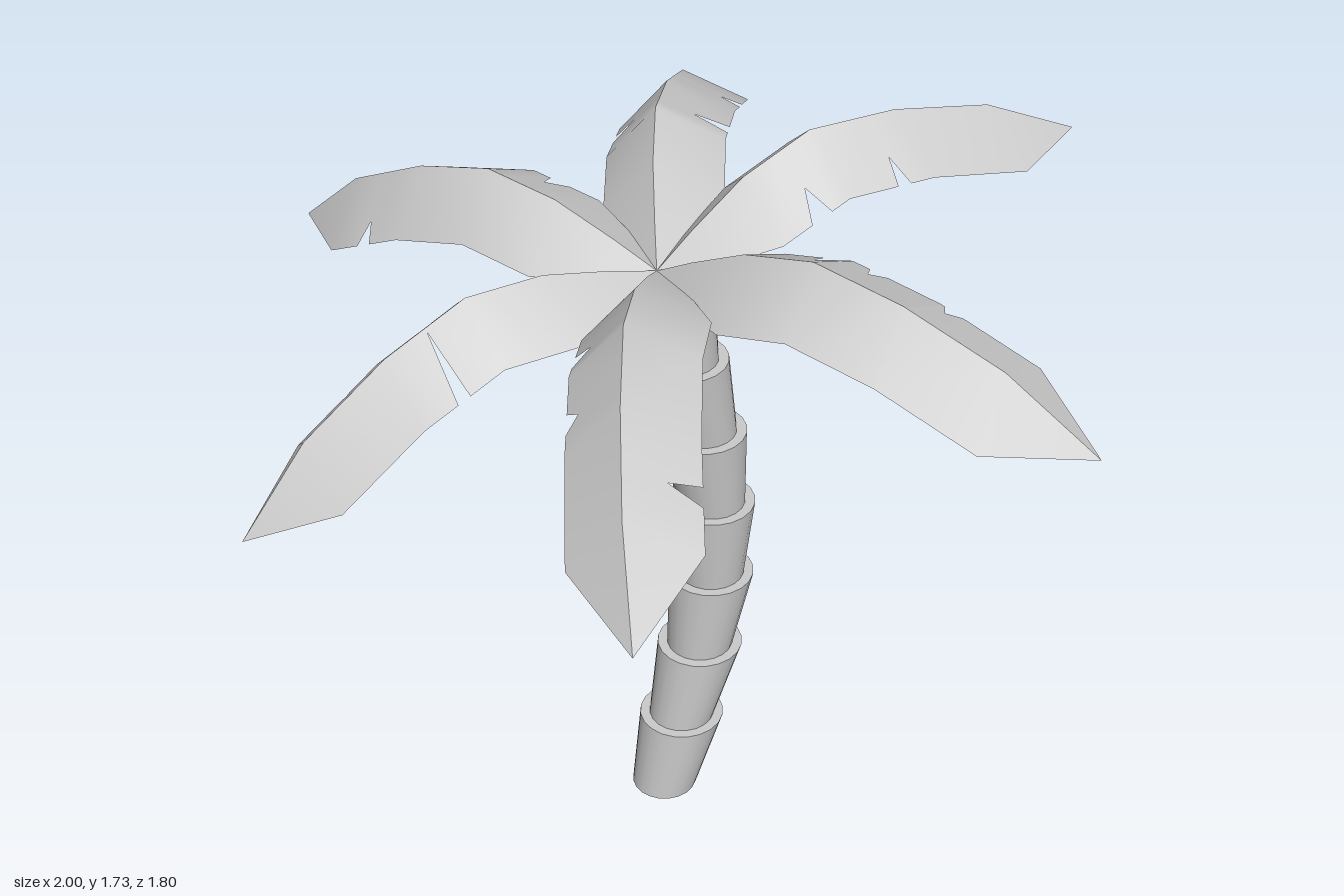
import * as THREE from 'three';

const grey = new THREE.MeshStandardMaterial({ color: 0xcccccc });
const leafGrey = new THREE.MeshStandardMaterial({ color: 0xcccccc, side: THREE.DoubleSide });

// Leaf profile: distance from crown, ridge height, half width
const STATIONS = [
  [0, 0, 0], [0.1, 0.055, 0.075], [0.24, 0.122, 0.137], [0.41, 0.157, 0.137],
  [0.61, 0.107, 0.137], [0.83, 0.007, 0.137], [1.03, -0.157, 0],
];
const DROP = 0.78; // fall of the blade from ridge to edge, per unit of width

function profileAt(r) {
  let i = 1;
  while (i < STATIONS.length - 1 && STATIONS[i][0] < r) i++;
  const a = STATIONS[i - 1], b = STATIONS[i];
  const t = (r - a[0]) / (b[0] - a[0]);
  return [r, a[1] + (b[1] - a[1]) * t, a[2] + (b[2] - a[2]) * t];
}

// One half of a leaf; each tear is [distance, depth, width] cut in from the edge
function halfLeaf(side, tears) {
  const columns = STATIONS.map((s) => [...s]);
  for (const [r, depth, width] of tears) {
    const tip = profileAt(r);
    tip[2] -= depth;
    columns.push(profileAt(r - width / 2), tip, profileAt(r + width / 2));
  }
  columns.sort((a, b) => a[0] - b[0]);

  const positions = [], index = [];
  columns.forEach(([r, h, w], i) => {
    positions.push(r, h, 0, r, h - w * DROP, side * w);
    if (i === 0) return;
    const a = 2 * i - 2, b = a + 1, c = a + 2, d = a + 3;
    if (side > 0) index.push(a, b, c, b, d, c);
    else index.push(a, c, b, b, c, d);
  });
  const geometry = new THREE.BufferGeometry();
  geometry.setAttribute('position', new THREE.Float32BufferAttribute(positions, 3));
  geometry.setIndex(index);
  geometry.computeVertexNormals();
  return new THREE.Mesh(geometry, leafGrey);
}

function createTrunk() {
  const trunk = new THREE.Group();
  trunk.name = 'trunk';
  // Centre line of the curved trunk, one x per ring
  const centres = [-0.025, 0.022, 0.07, 0.097, 0.097, 0.072, 0.024, -0.016];
  const height = 1.442 / 7;
  for (let i = 0; i < 7; i++) {
    const lean = (centres[i + 1] - centres[i]) / height;
    const geometry = new THREE.CylinderGeometry(0.101, 0.078, height, 20);
    geometry.applyMatrix4(new THREE.Matrix4().makeShear(0, 0, lean, 0, 0, 0));
    const segment = new THREE.Mesh(geometry, grey);
    segment.name = 'trunkSegment';
    segment.position.set((centres[i] + centres[i + 1]) / 2, (i + 0.5) * height, 0);
    trunk.add(segment);
  }
  return trunk;
}

function createCrown() {
  const crown = new THREE.Group();
  crown.name = 'crown';
  crown.position.set(-0.04, 1.475, 0);
  crown.rotation.z = 0.245;
  // Heading in degrees, extra pitch, tears on either side
  const leaves = [
    { heading: 0, pitch: 0, near: [[0.34, 0.06, 0.05], [0.54, 0.055, 0.03]], far: [[0.71, 0.075, 0.03]] },
    { heading: 60, pitch: -0.07, near: [[0.475, 0.07, 0.04], [0.71, 0.04, 0.04]], far: [[0.53, 0.06, 0.04]] },
    { heading: 120, pitch: 0.07, near: [[0.34, 0.05, 0.05], [0.56, 0.06, 0.04]], far: [[0.72, 0.045, 0.04]] },
    { heading: 180, pitch: 0, near: [[0.49, 0.08, 0.05], [0.7, 0.045, 0.025]], far: [[0.51, 0.13, 0.03]] },
    { heading: 240, pitch: 0.07, near: [[0.35, 0.045, 0.05], [0.53, 0.03, 0.05]], far: [[0.72, 0.06, 0.04]] },
    { heading: 300, pitch: -0.07, near: [], far: [[0.37, 0.075, 0.06], [0.47, 0.04, 0.04], [0.64, 0.035, 0.04]] },
  ];
  for (const { heading, pitch, near, far } of leaves) {
    const leaf = new THREE.Group();
    leaf.name = 'palmLeaf';
    leaf.rotation.set(0, THREE.MathUtils.degToRad(heading), pitch);
    const halves = [halfLeaf(1, near), halfLeaf(-1, far)];
    halves.forEach((half) => { half.name = 'leafBlade'; });
    leaf.add(...halves);
    crown.add(leaf);
  }
  return crown;
}

export function createModel() {
  const palm = new THREE.Group();
  palm.name = 'palmTree';
  palm.add(createTrunk(), createCrown());
  return palm;
}
